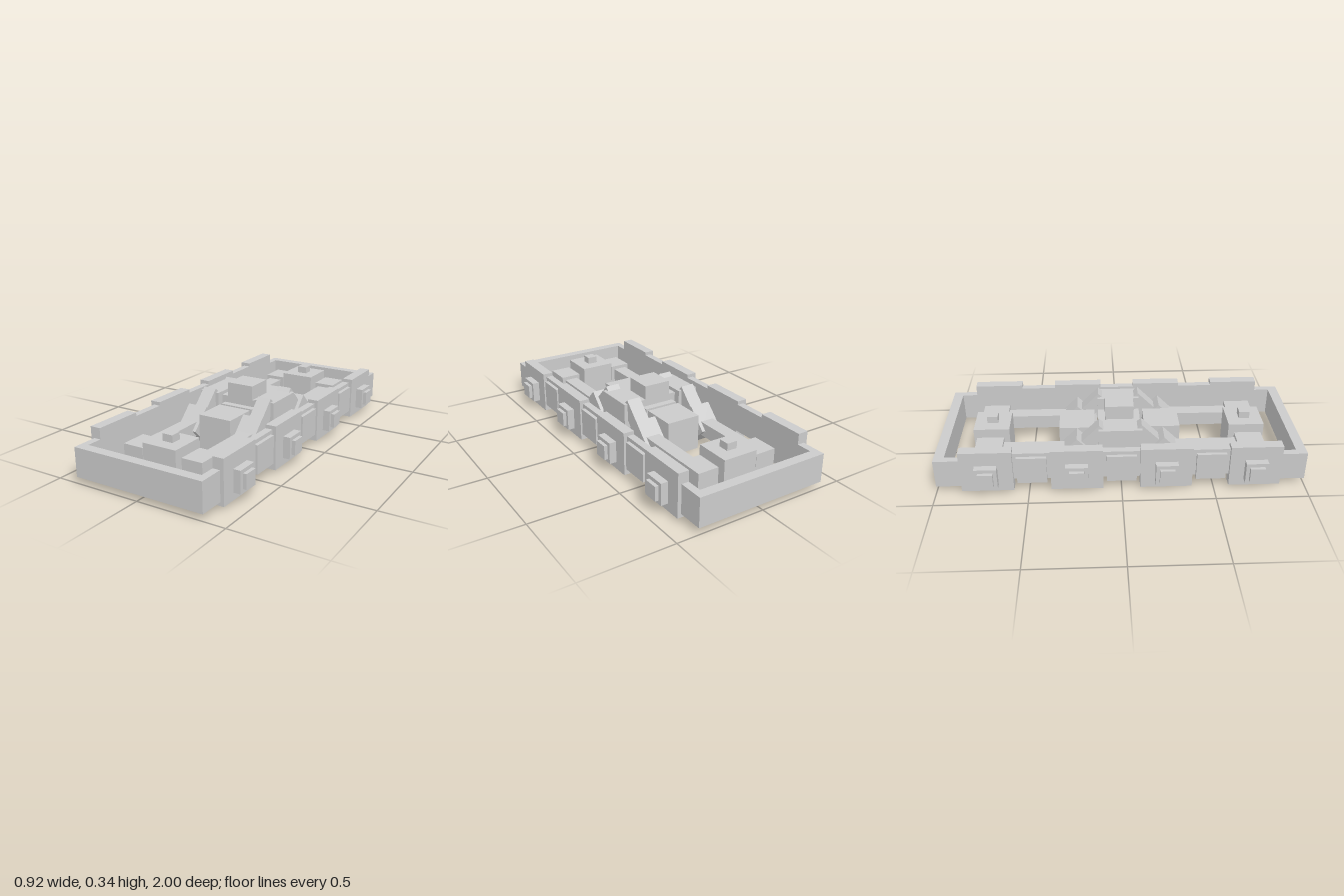
import * as THREE from 'three';

export function createModel() {
  const model = new THREE.Group();
  const material = new THREE.MeshStandardMaterial({ color: 0xcccccc, flatShading: true });

  // Box given by its lower and upper limits on each axis
  function box(name, [x0, x1], [y0, y1], [z0, z1]) {
    const mesh = new THREE.Mesh(new THREE.BoxGeometry(x1 - x0, y1 - y0, z1 - z0), material);
    mesh.name = name;
    mesh.position.set((x0 + x1) / 2, (y0 + y1) / 2, (z0 + z1) / 2);
    model.add(mesh);
    return mesh;
  }
  // Range mirrored to the chosen side
  const side = (s, a, b) => (s > 0 ? [a, b] : [-b, -a]);
  const around = (c, half) => [c - half, c + half];

  // Central body
  box('bodyBase', [-0.1, 0.1], [0.015, 0.215], [-0.12, 0.12]);
  box('bodyDeck', [-0.12, 0.12], [0.1, 0.255], [-0.08, 0.08]);
  box('bodyTop', [-0.08, 0.08], [0.215, 0.335], [-0.08, 0.08]);

  for (const sz of [1, -1]) {
    // End walls with blocks inside
    box('endWall', [-0.38, 0.38], [0.035, 0.195], side(sz, 0.945, 1));
    box('innerBlock', [-0.1, 0.1], [0.015, 0.215], side(sz, 0.14, 0.34));
    box('outerBlock', [-0.1, 0.1], [0.015, 0.215], side(sz, 0.62, 0.82));
    box('outerBlockKnob', [-0.03, 0.03], [0.215, 0.255], around(sz * 0.72, 0.03));
  }

  for (const sx of [1, -1]) {
    // Raised side rail, panels on its outside, and hub beside the body
    box('sideRail', side(sx, 0.34, 0.38), [0.075, 0.235], [-0.86, 0.86]);
    for (const z of [-0.48, 0, 0.48]) {
      box('sidePanel', side(sx, 0.37, 0.4), [0.06, 0.215], around(z, 0.08));
    }
    box('hub', side(sx, 0.12, 0.24), [0.035, 0.275], [-0.12, 0.12]);

    // Side blocks with stepped bosses
    for (const z of [-0.72, -0.24, 0.24, 0.72]) {
      box('sideBlock', side(sx, 0.34, 0.4), [0.015, 0.255], around(z, 0.14));
      box('boss', side(sx, 0.4, 0.44), [0.055, 0.175], around(z, 0.06));
      box('bossCap', side(sx, 0.44, 0.46), [0.075, 0.155], around(z, 0.04));
    }

    for (const sz of [1, -1]) {
      box('cornerRail', side(sx, 0.34, 0.38), [0.035, 0.195], side(sz, 0.86, 0.945));

      // Linkage: sloping arm, tilted joint, rod and foot
      const arm = box('arm', side(sx, 0.14, 0.22), around(0.193, 0.04), around(sz * 0.164, 0.108));
      arm.rotation.x = sz * Math.PI / 4;
      const joint = box('joint', side(sx, 0.12, 0.24), around(0.113, 0.08), around(sz * 0.24, 0.08));
      joint.rotation.x = Math.PI / 4;
      box('rod', side(sx, 0.14, 0.22), [0.075, 0.155], side(sz, 0.24, 0.65));
      box('foot', side(sx, 0.12, 0.24), [0.055, 0.175], side(sz, 0.65, 0.8));
    }
  }
  return model;
}
